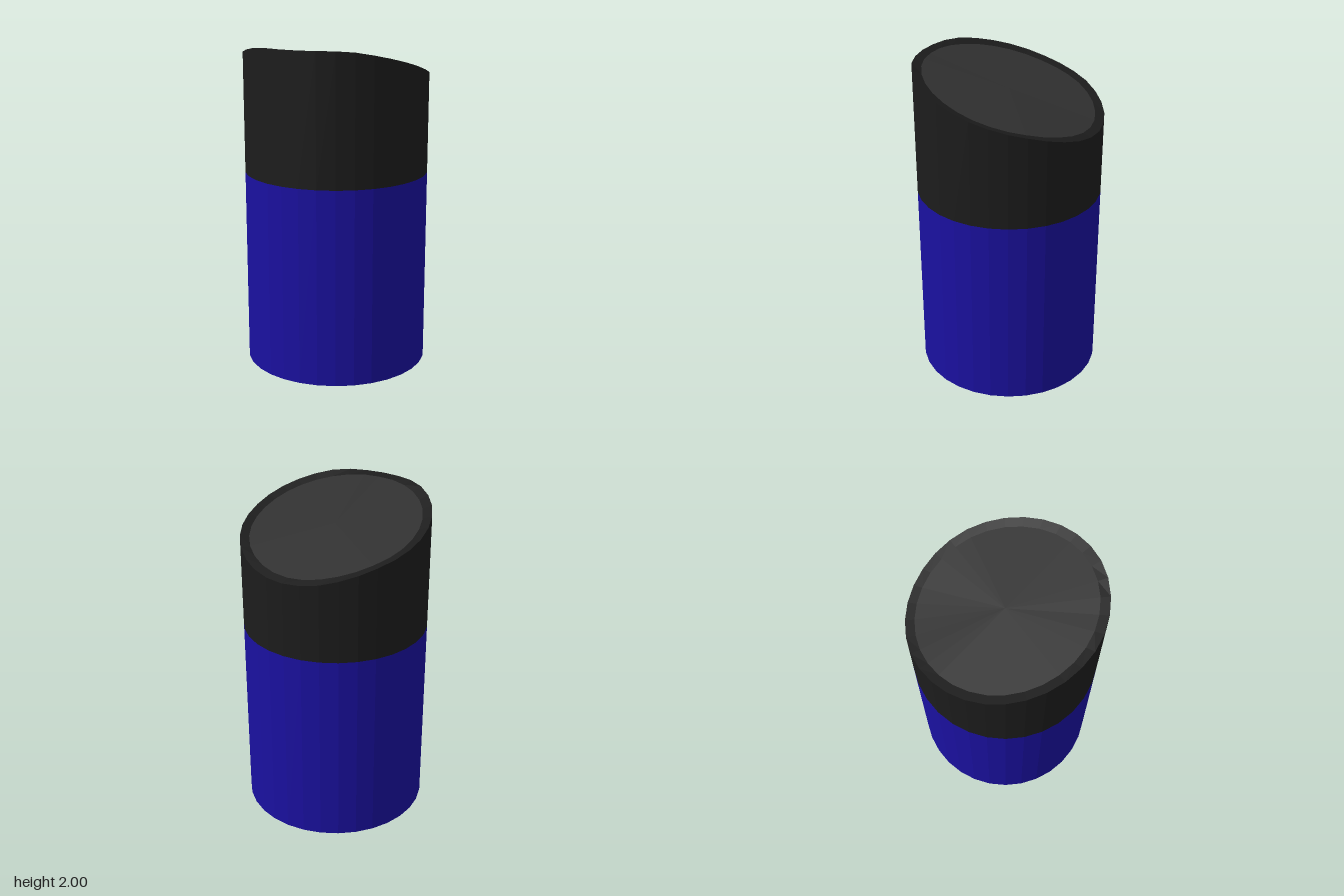
import * as THREE from 'three';

const R = 0.567, INNER = 0.512, SIDES = 32, SEAM = 1.21;

// Height of the slanted top edge as a function of z
const SLOPE = [[-0.567, 1.668], [-0.445, 1.727], [-0.31, 1.775], [0, 1.857], [0.24, 1.926], [0.5, 2], [0.57, 2]];
function slantHeight(z) {
  let i = 1;
  while (i < SLOPE.length - 1 && z > SLOPE[i][0]) i++;
  const [z0, y0] = SLOPE[i - 1], [z1, y1] = SLOPE[i];
  return THREE.MathUtils.clamp(y0 + (y1 - y0) * (z - z0) / (z1 - z0), 1.668, 2);
}

// Open band between two rings, each ring's height given by a rule of z
function band(name, color, rTop, yTop, rBottom, yBottom) {
  const geometry = new THREE.CylinderGeometry(rTop, rBottom, 1, SIDES, 1, true);
  const p = geometry.attributes.position;
  for (let i = 0; i < p.count; i++) {
    p.setY(i, (p.getY(i) > 0 ? yTop : yBottom)(p.getZ(i)));
  }
  geometry.computeVertexNormals();
  const mesh = new THREE.Mesh(geometry, new THREE.MeshStandardMaterial({ color, flatShading: true }));
  mesh.name = name;
  return mesh;
}

export function createModel() {
  const group = new THREE.Group();
  group.name = 'slantedCanister';
  const at = (y) => () => y;
  const sunk = (z) => slantHeight(z) - 0.012;

  group.add(
    // Walls
    band('body', 0x1a10a0, R, at(SEAM), R, at(0)),
    band('collar', 0x1c1c1c, R, slantHeight, R, at(SEAM)),
    // Slanted lid with a narrow dark rim
    band('lidRim', 0x1c1c1c, INNER, sunk, R, slantHeight),
    band('lidPanel', 0x303030, 0, sunk, INNER, sunk),
    // Slightly hollow underside
    band('baseRim', 0xcccccc, R, at(0), INNER, at(0.03)),
    band('basePanel', 0xcccccc, INNER, at(0.03), 0.11, at(0.045)),
    band('baseCentre', 0xcccccc, 0.11, at(0.045), 0, at(0.05)),
  );
  return group;
}
